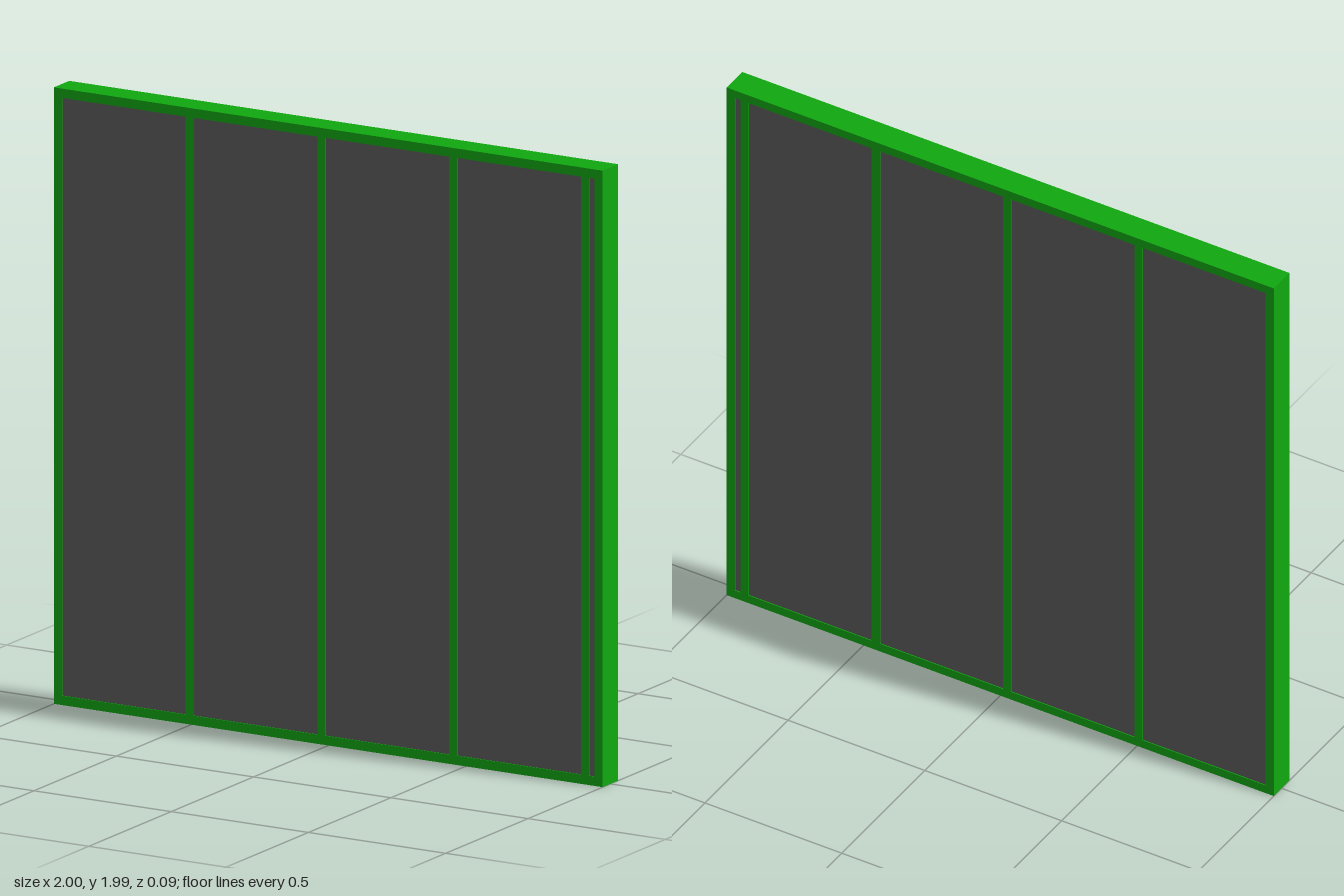
import * as THREE from 'three';

export function createModel() {
  const wall = new THREE.Group();
  wall.name = 'framedWall';
  const frameMat = new THREE.MeshStandardMaterial({ color: 0x10a810 });
  const panelMat = new THREE.MeshStandardMaterial({ color: 0x5c5c5c });
  const H = 1.99, D = 0.094, T = 0.03; // height, depth, timber thickness

  function box(name, x0, x1, y0, y1, depth, mat) {
    const mesh = new THREE.Mesh(new THREE.BoxGeometry(x1 - x0, y1 - y0, depth), mat);
    mesh.position.set((x0 + x1) / 2, (y0 + y1) / 2, 0);
    mesh.name = name;
    wall.add(mesh);
  }

  // Horizontal plates
  box('bottomPlate', -1, 1, 0, T, D, frameMat);
  box('topPlate', -1, 1, H - T, H, D, frameMat);

  // Evenly spaced studs, closed by an end stud
  const studs = [0, 1, 2, 3, 4].map((i) => -0.985 + i * 0.48);
  studs.push(0.985);
  studs.forEach((x, i) => {
    box(`stud${i + 1}`, x - T / 2, x + T / 2, T, H - T, D, frameMat);
    // Infill panel up to the next stud, set slightly back on both faces
    if (i < studs.length - 1) {
      box(`infillPanel${i + 1}`, x + T / 2, studs[i + 1] - T / 2, T, H - T, D - 0.006, panelMat);
    }
  });
  return wall;
}
